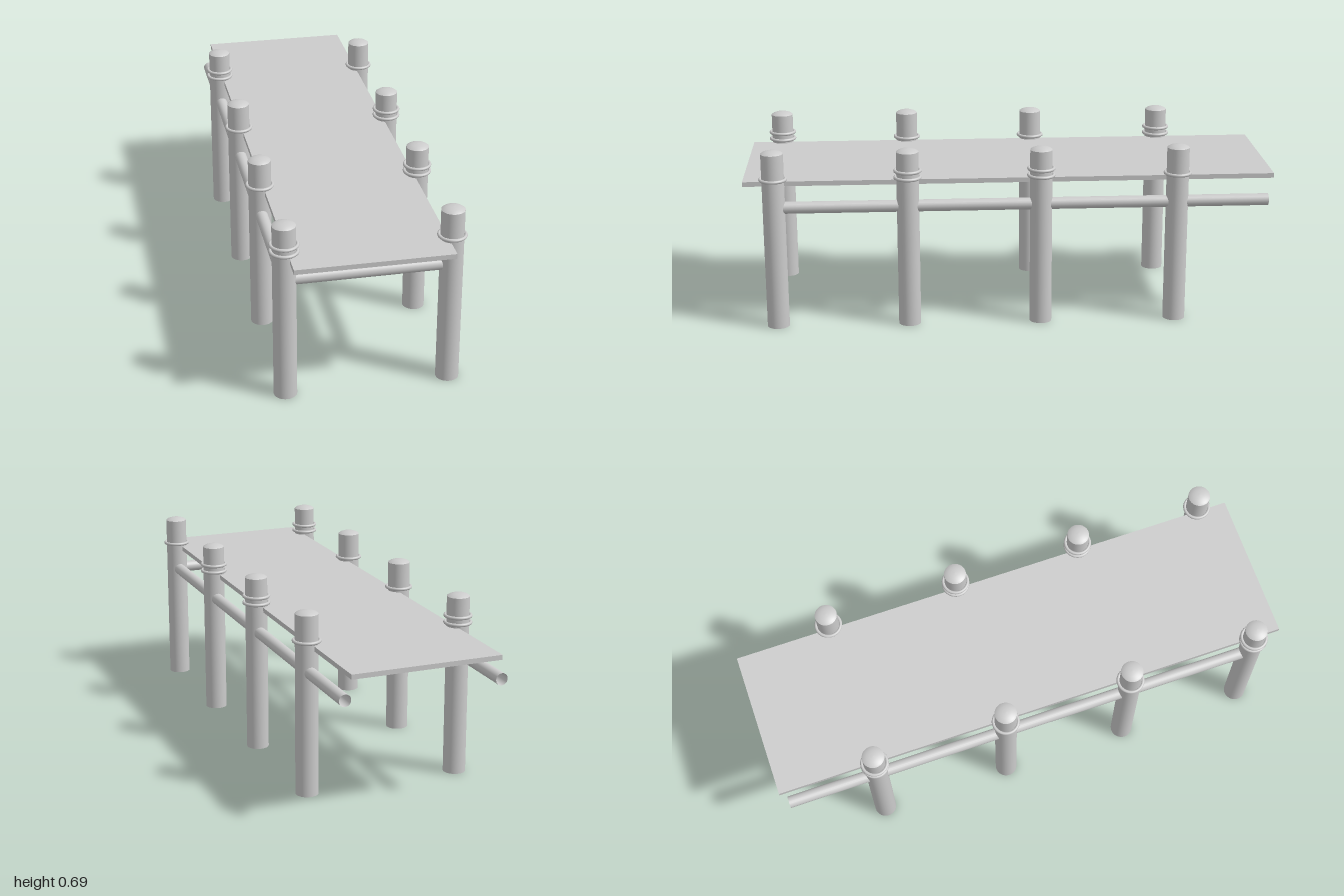
import * as THREE from 'three';

const material = new THREE.MeshStandardMaterial({ color: 0xcccccc, side: THREE.DoubleSide });
const POST_X = 0.296, POST_R = 0.042, RAIL_Y = 0.468, RAIL_R = 0.0225;
const POST_Z = [0.885, 0.385, -0.115, -0.63];

function addMesh(parent, name, geometry, x = 0, y = 0, z = 0) {
  const mesh = new THREE.Mesh(geometry, material);
  mesh.name = name;
  mesh.position.set(x, y, z);
  parent.add(mesh);
  return mesh;
}

// Open-ended round post with a shallow domed cap and rope rings
function createPost(ringHeights) {
  const post = new THREE.Group();
  post.name = 'post';
  const shaftTop = 0.678;
  addMesh(post, 'postShaft', new THREE.CylinderGeometry(POST_R, POST_R, shaftTop, 32, 1, true), 0, shaftTop / 2);
  const dome = [[POST_R, shaftTop], [0.035, 0.683], [0.024, 0.687], [0.012, 0.6895], [0, 0.69]]
    .map(([r, y]) => new THREE.Vector2(r, y));
  addMesh(post, 'postCap', new THREE.LatheGeometry(dome, 32));
  for (const y of ringHeights) {
    const ring = new THREE.TorusGeometry(0.047, 0.0062, 10, 36);
    ring.rotateX(Math.PI / 2);
    addMesh(post, 'ropeRing', ring, 0, y);
  }
  return post;
}

// Open pipe along an axis
function createPipe(length, axis) {
  const pipe = new THREE.CylinderGeometry(RAIL_R, RAIL_R, length, 24, 1, true);
  return axis === 'x' ? pipe.rotateZ(Math.PI / 2) : pipe.rotateX(Math.PI / 2);
}

export function createModel() {
  const model = new THREE.Group();
  model.name = 'pier';

  // Walkway
  addMesh(model, 'deck', new THREE.BoxGeometry(0.566, 0.018, 2), 0, 0.557, 0);

  for (const side of [-1, 1]) {
    // Posts: double and single rings alternate between the two rows
    POST_Z.forEach((z, i) => {
      const outer = i === 0 || i === 3;
      const doubled = outer === (side === -1);
      const post = createPost(doubled ? [0.579, 0.605] : [0.579]);
      post.position.set(side * POST_X, 0, z);
      model.add(post);
    });

    // Long rail running past the last post
    const front = POST_Z[0], back = -0.977;
    addMesh(model, 'sideRail', createPipe(front - back, 'z'), side * POST_X, RAIL_Y, (front + back) / 2);
  }

  // Crossbar between the front posts
  addMesh(model, 'frontCrossbar', createPipe(2 * POST_X, 'x'), 0, RAIL_Y, POST_Z[0]);

  return model;
}
